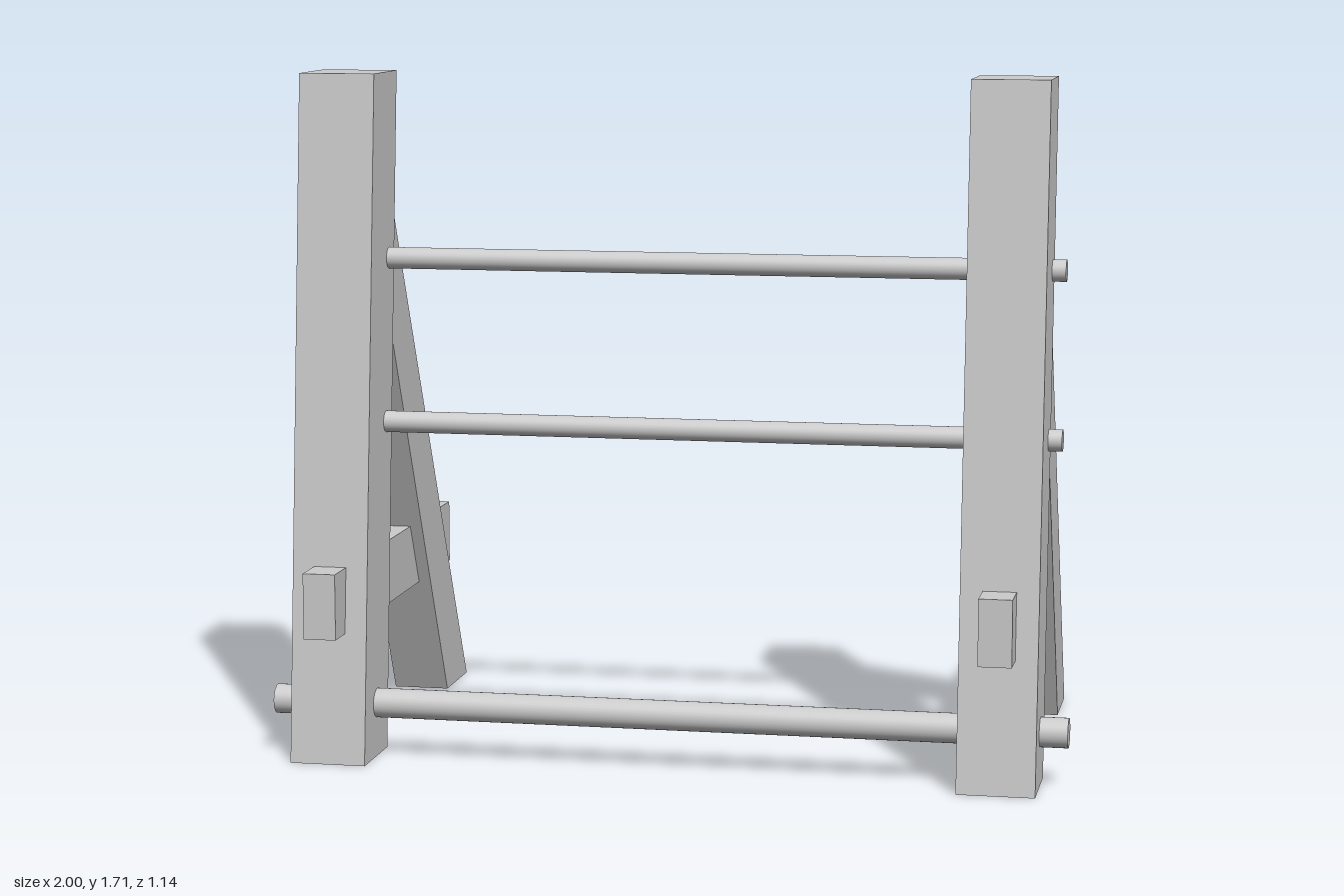
import * as THREE from 'three';

const wood = new THREE.MeshStandardMaterial({ color: 0xcccccc, side: THREE.DoubleSide });

function addMesh(parent, name, geometry, x = 0, y = 0, z = 0) {
  const mesh = new THREE.Mesh(geometry, wood);
  mesh.name = name;
  mesh.position.set(x, y, z);
  parent.add(mesh);
  return mesh;
}

// Leaning beam: a box whose side corners are moved to [z, y] points; the foot is left open
function leaningBeam(width, { bottomFront, bottomBack, topFront, topBack }) {
  const geo = new THREE.BoxGeometry(width, 1, 1);
  const p = geo.attributes.position;
  for (let i = 0; i < p.count; i++) {
    const front = p.getZ(i) > 0;
    const [z, y] = p.getY(i) > 0 ? (front ? topFront : topBack) : (front ? bottomFront : bottomBack);
    p.setXYZ(i, p.getX(i), y, z);
  }
  const index = Array.from(geo.index.array);
  index.splice(18, 6); // underside
  geo.setIndex(index);
  geo.clearGroups();
  geo.computeVertexNormals();
  return geo;
}

export function createModel() {
  const model = new THREE.Group();
  model.name = 'ladderFrame';

  const postGeo = leaningBeam(0.192, {
    bottomFront: [0.52, 0], bottomBack: [0.315, 0],
    topFront: [0.357, 1.712], topBack: [0.152, 1.712],
  });
  const braceGeo = leaningBeam(0.146, {
    bottomFront: [-0.362, 0], bottomBack: [-0.57, 0],
    topFront: [0.206, 1.16], topBack: [0.176, 1.47],
  });
  const railGeo = new THREE.BoxGeometry(0.082, 0.165, 1.09);

  // Two mirrored A-shaped side frames
  for (const [side, label] of [[1, 'left'], [-1, 'right']]) {
    const frame = new THREE.Group();
    frame.name = label + 'SideFrame';
    frame.position.x = side * 0.835;
    addMesh(frame, label + 'Post', postGeo);
    addMesh(frame, label + 'Brace', braceGeo);
    addMesh(frame, label + 'CrossRail', railGeo, 0, 0.41, 0.025);
    model.add(frame);
  }

  // Round rungs running through both posts
  const rungs = [
    ['bottomRung', 0.037, 2.0, 0.135, 0.398],
    ['middleRung', 0.027, 1.93, 0.835, 0.284],
    ['topRung', 0.027, 1.93, 1.245, 0.239],
  ];
  for (const [name, radius, length, y, z] of rungs) {
    const geo = new THREE.CylinderGeometry(radius, radius, length, 32).rotateZ(Math.PI / 2);
    addMesh(model, name, geo, 0, y, z);
  }
  return model;
}
